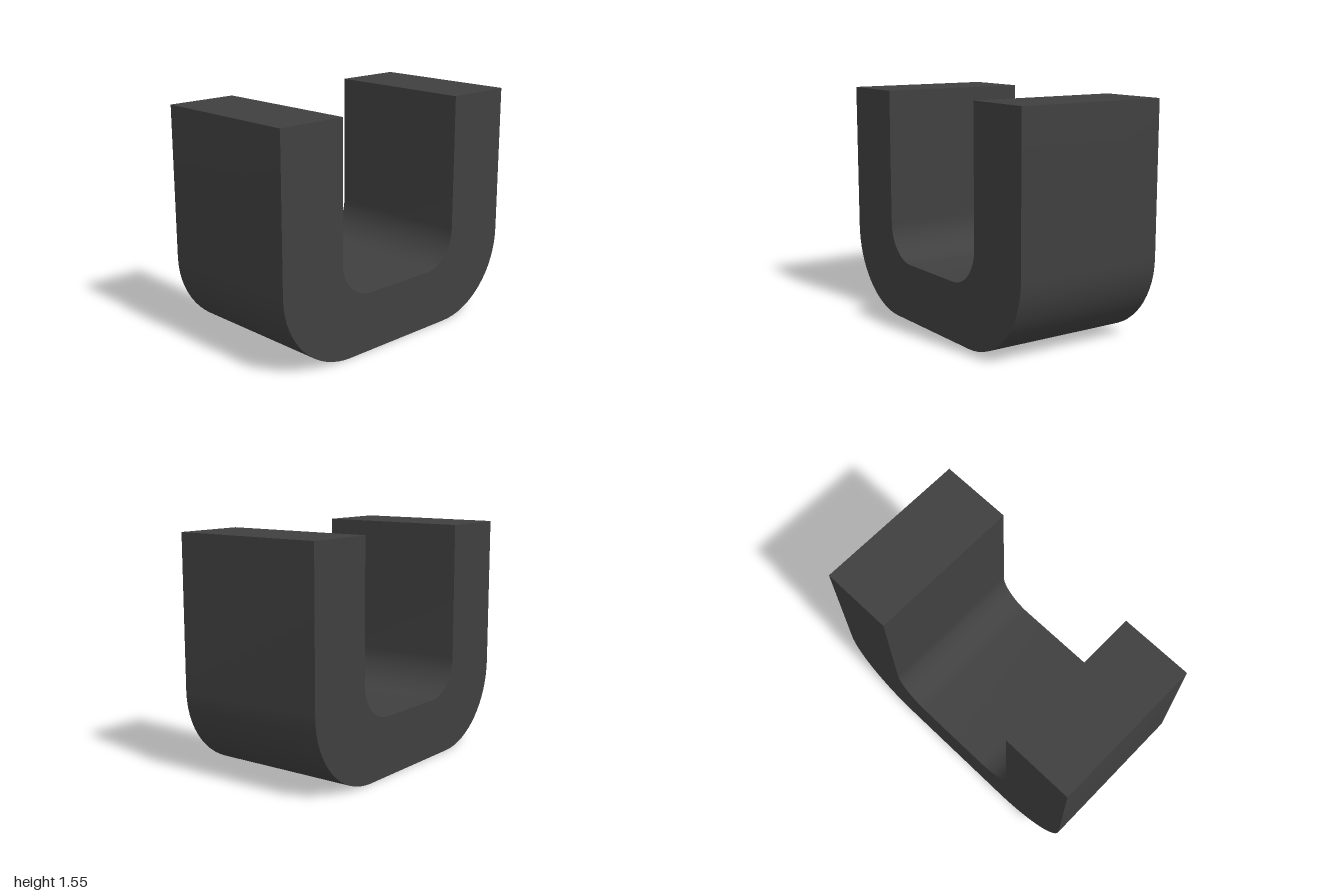
import * as THREE from 'three';
import { toCreasedNormals } from 'three/addons/utils/BufferGeometryUtils.js';

const HALF_WIDTH = 1, HEIGHT = 1.555, DEPTH = 1.045;
const INNER_HALF = 0.515, FLOOR = 0.395;
const OUTER_R = 0.55, INNER_R = 0.25;

// U-shaped cross-section with rounded outer and inner corners
function channelShape() {
  const s = new THREE.Shape();
  s.moveTo(-HALF_WIDTH, HEIGHT);
  s.lineTo(-HALF_WIDTH, OUTER_R);
  s.absarc(-HALF_WIDTH + OUTER_R, OUTER_R, OUTER_R, Math.PI, Math.PI * 1.5, false);
  s.lineTo(HALF_WIDTH - OUTER_R, 0);
  s.absarc(HALF_WIDTH - OUTER_R, OUTER_R, OUTER_R, -Math.PI / 2, 0, false);
  s.lineTo(HALF_WIDTH, HEIGHT);
  s.lineTo(INNER_HALF, HEIGHT);
  s.lineTo(INNER_HALF, FLOOR + INNER_R);
  s.absarc(INNER_HALF - INNER_R, FLOOR + INNER_R, INNER_R, 0, -Math.PI / 2, true);
  s.lineTo(-INNER_HALF + INNER_R, FLOOR);
  s.absarc(-INNER_HALF + INNER_R, FLOOR + INNER_R, INNER_R, -Math.PI / 2, -Math.PI, true);
  s.lineTo(-INNER_HALF, HEIGHT);
  s.closePath();
  return s;
}

export function createModel() {
  const group = new THREE.Group();
  group.name = 'uChannel';

  // Straight extrusion, smooth round the bends and sharp at the ends
  const geometry = new THREE.ExtrudeGeometry(channelShape(), {
    depth: DEPTH, bevelEnabled: false, curveSegments: 8,
  });
  geometry.translate(0, 0, -DEPTH / 2);

  const channel = new THREE.Mesh(
    toCreasedNormals(geometry, Math.PI / 6),
    new THREE.MeshStandardMaterial({ color: 0x404040 }),
  );
  channel.name = 'channelBody';
  group.add(channel);
  return group;
}
